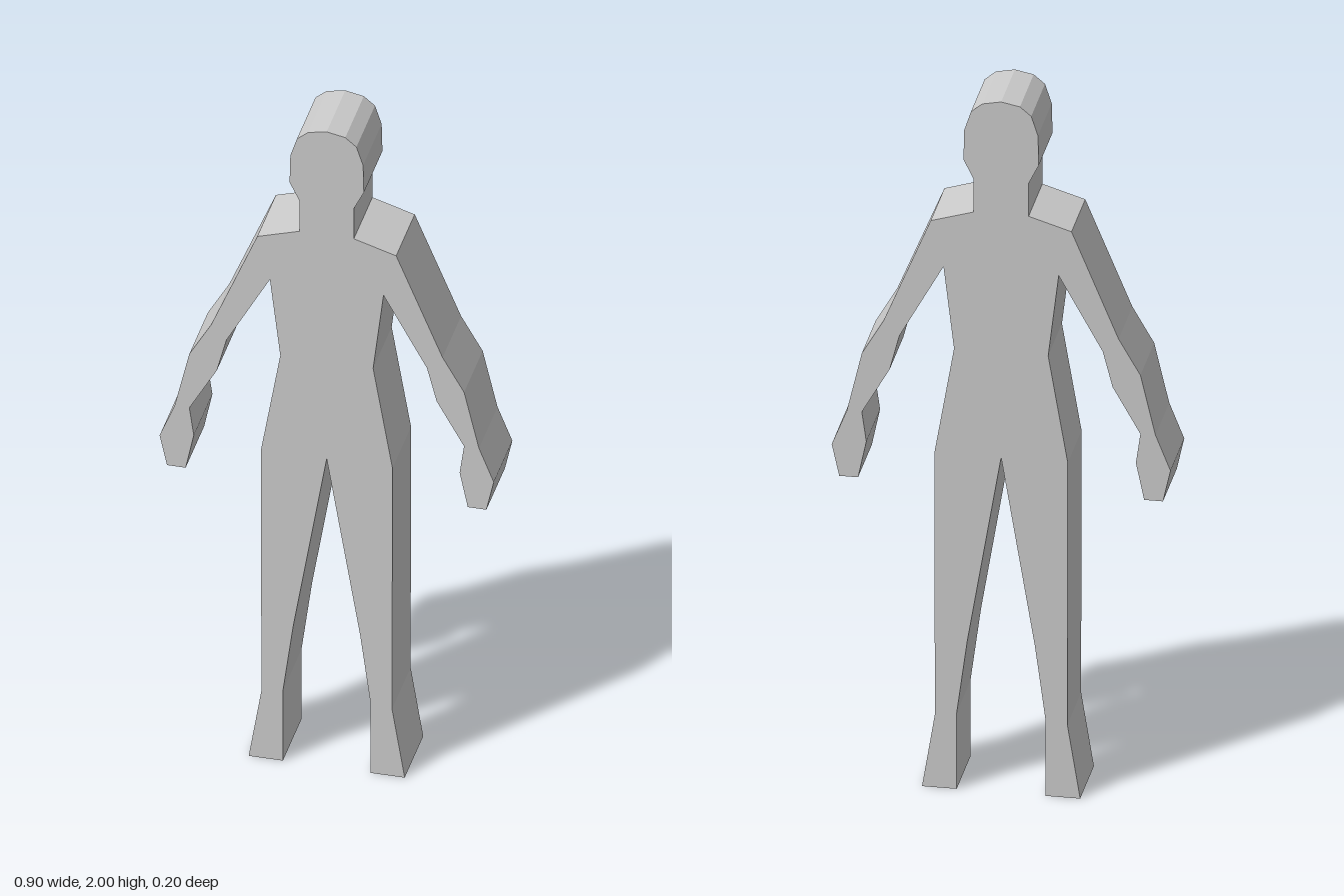
import * as THREE from 'three';

const DEPTH = 0.2;

// Left half of the silhouette, from the crown down to the crotch
const head = [[0, 2], [0.05, 1.99], [0.08, 1.965], [0.098, 1.91], [0.1, 1.825], [0.073, 1.77], [0.073, 1.675]];
const outerArm = [[0.187, 1.64], [0.312, 1.34], [0.37, 1.24], [0.41, 1.07]];
const hand = [[0.45, 0.97], [0.43, 0.88], [0.38, 0.88], [0.358, 0.985]];
const innerArm = [[0.37, 1.07], [0.296, 1.2], [0.27, 1.3], [0.153, 1.51]];
const torso = [[0.125, 1.275], [0.177, 0.97]];
const leg = [[0.176, 0.21], [0.21, 0], [0.118, 0], [0.118, 0.22], [0.09, 0.43], [0, 0.97]];

export function createModel() {
  const half = [...head, ...outerArm, ...hand, ...innerArm, ...torso, ...leg];

  // Mirror everything except the two points on the centre line
  const mirrored = half.slice(1, -1).reverse().map(([x, y]) => [-x, y]);
  const outline = [...half, ...mirrored].map(([x, y]) => new THREE.Vector2(x, y));

  // Flat figure cut from a slab
  const geometry = new THREE.ExtrudeGeometry(new THREE.Shape(outline), { depth: DEPTH, bevelEnabled: false });
  geometry.translate(0, 0, -DEPTH / 2);

  const figure = new THREE.Mesh(
    geometry,
    new THREE.MeshStandardMaterial({ color: 0xcccccc, flatShading: true })
  );
  figure.name = 'humanFigure';

  const model = new THREE.Group();
  model.name = 'standingFigure';
  model.add(figure);
  return model;
}
